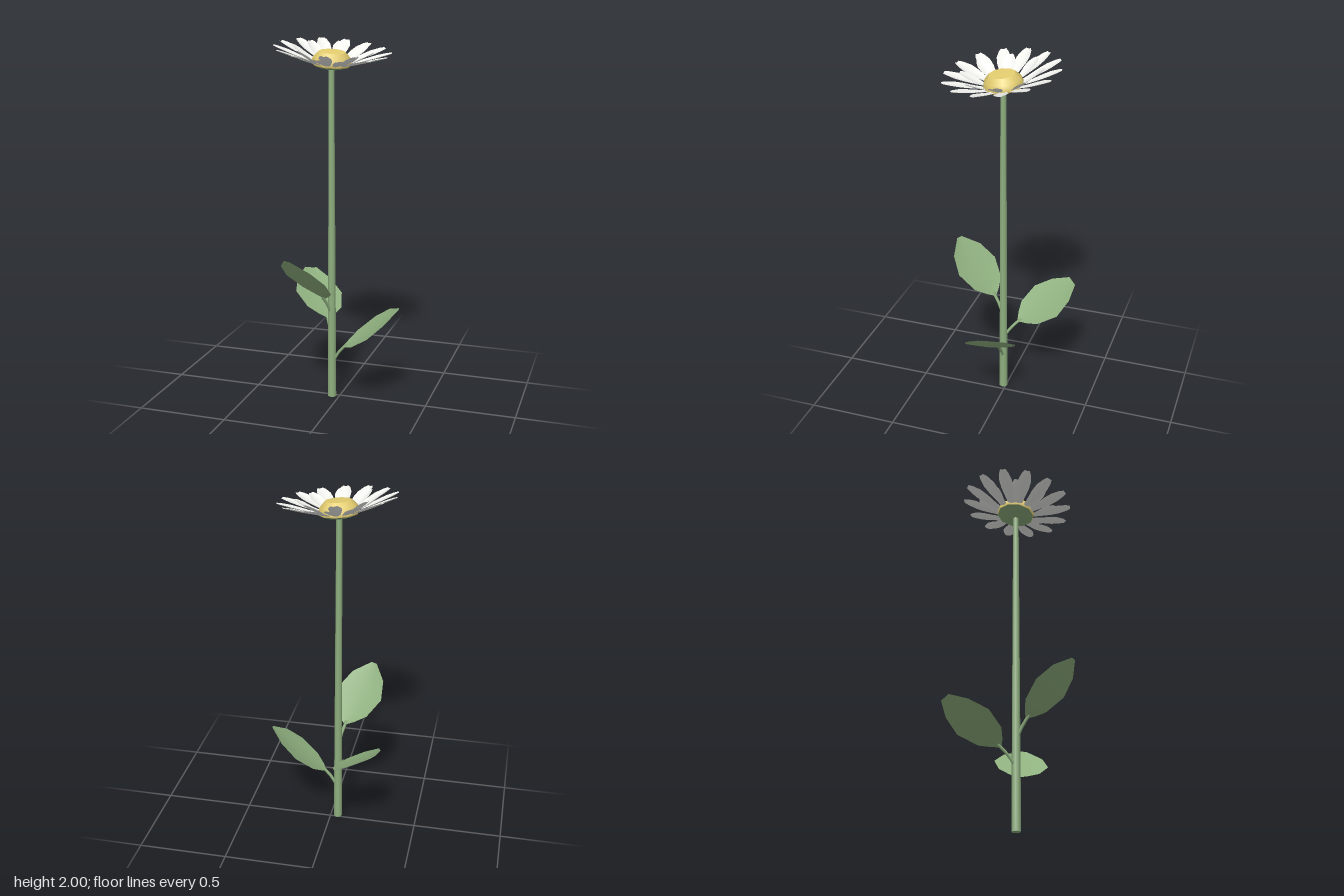
import * as THREE from 'three';

const mat = (color, side = THREE.FrontSide) => new THREE.MeshStandardMaterial({ color, side });
const green = mat(0x8fb07f);
const leafGreen = mat(0x8fb07f, THREE.DoubleSide);
const yellow = mat(0xe3cd70);
const white = mat(0xf0f0ec, THREE.DoubleSide);

function add(parent, name, geometry, material) {
  const mesh = new THREE.Mesh(geometry, material);
  mesh.name = name;
  parent.add(mesh);
  return mesh;
}

// Thin blade along +x; each row is [distance, half width, height], edges raised by cup
function blade(rows, cup) {
  const cols = [-1, -0.5, 0, 0.5, 1];
  const pos = [], index = [];
  rows.forEach(([x, w, y], r) => {
    const maxW = Math.max(...rows.map((row) => row[1]));
    cols.forEach((u) => pos.push(x, y + cup * u * u * (w / maxW), u * w));
    if (r === 0) return;
    for (let c = 0; c < cols.length - 1; c++) {
      const b = r * cols.length + c, a = b - cols.length;
      index.push(a, a + 1, b, a + 1, b + 1, b);
    }
  });
  const g = new THREE.BufferGeometry();
  g.setAttribute('position', new THREE.Float32BufferAttribute(pos, 3));
  g.setIndex(index);
  g.computeVertexNormals();
  return g;
}

// Petal from inside the disc out to radius reach, rising to height rise
function petalGeometry(reach, rise, halfWidth) {
  const start = 0.085;
  const shape = [[0, 0.4], [0.25, 0.65], [0.5, 0.95], [0.7, 1], [0.9, 0.7], [1, 0.38]];
  return blade(shape.map(([t, w]) => [
    start + (reach - start) * t, halfWidth * w, 0.004 + rise * (0.8 * t + 0.2 * t * t),
  ]), 0.009);
}

function addPetalRing(flower, name, count, startDeg, geometry) {
  const ring = new THREE.Group();
  ring.name = name;
  for (let i = 0; i < count; i++) {
    const petal = add(ring, 'petal', geometry, white);
    petal.rotation.y = -THREE.MathUtils.degToRad(startDeg + (i * 360) / count);
  }
  flower.add(ring);
}

// Leaf with its stalk: root on the stem, base and tip of the blade, roll about its axis
function makeLeaf({ root, base, tip, roll, blunt }) {
  const leaf = new THREE.Group();
  leaf.name = 'leaf';
  const [r, b, t] = [root, base, tip].map((p) => new THREE.Vector3(...p));
  const axis = t.clone().sub(b);
  const length = axis.length();
  axis.normalize();

  const shape = [[0, 0.08], [0.07, 0.35], [0.2, 0.73], [0.5, 1], [0.78, 0.73], [1, blunt]];
  const geometry = blade(shape.map(([s, w]) => [
    s * length, 0.147 * w, -0.012 * Math.sin(Math.PI * s),
  ]), 0.012);
  const side = axis.clone().cross(new THREE.Vector3(0, 1, 0)).normalize();
  const up = side.clone().cross(axis);
  geometry.rotateX(roll);
  geometry.applyMatrix4(new THREE.Matrix4().makeBasis(axis, up, side).setPosition(b));
  add(leaf, 'leafBlade', geometry, leafGreen);

  const end = b.clone().addScaledVector(axis, 0.02);
  const bend = r.clone().lerp(b, 0.5).add(new THREE.Vector3(0, 0.006, 0));
  const curve = new THREE.CatmullRomCurve3([r, bend, end]);
  add(leaf, 'leafStalk', new THREE.TubeGeometry(curve, 4, 0.009, 6), green);
  return leaf;
}

export function createModel() {
  const model = new THREE.Group();
  model.name = 'daisy';

  // Stem
  const stem = add(model, 'stem', new THREE.CylinderGeometry(0.016, 0.025, 1.865, 8), green);
  stem.position.set(-0.042, 0.9325, 0.016);

  // Leaves
  [
    { root: [-0.03, 0.22, 0.016], base: [0.03, 0.31, 0.016], tip: [0.345, 0.56, 0.02], roll: 0.17, blunt: 0.08 },
    { root: [-0.05, 0.35, 0.01], base: [-0.09, 0.44, -0.06], tip: [-0.285, 0.645, -0.325], roll: 0.2, blunt: 0.25 },
    { root: [-0.045, 0.5, 0.022], base: [-0.07, 0.6, 0.075], tip: [-0.19, 0.872, 0.335], roll: 0, blunt: 0.12 },
  ].forEach((spec) => model.add(makeLeaf(spec)));

  // Flower head, tipped slightly forward and to its left
  const flower = new THREE.Group();
  flower.name = 'flowerHead';
  flower.position.set(-0.042, 1.875, 0.014);
  flower.rotation.set(0.1, 0, -0.1);
  model.add(flower);

  const lathe = (points) =>
    new THREE.LatheGeometry(points.map(([x, y]) => new THREE.Vector2(x, y)), 10);
  add(flower, 'calyx', lathe([[0, -0.024], [0.03, -0.022], [0.07, -0.014], [0.104, 0]]), green);
  add(flower, 'discSide', lathe([[0.104, 0], [0.109, 0.012], [0.098, 0.042], [0.071, 0.07]]), yellow);
  add(flower, 'discTop', lathe([[0.071, 0.07], [0, 0.072]]), yellow);

  // Long outer petals and steeper, shorter inner ones
  addPetalRing(flower, 'outerPetals', 14, 9.5, petalGeometry(0.312, 0.076, 0.037));
  addPetalRing(flower, 'innerPetals', 8, -6, petalGeometry(0.222, 0.08, 0.034));

  return model;
}
